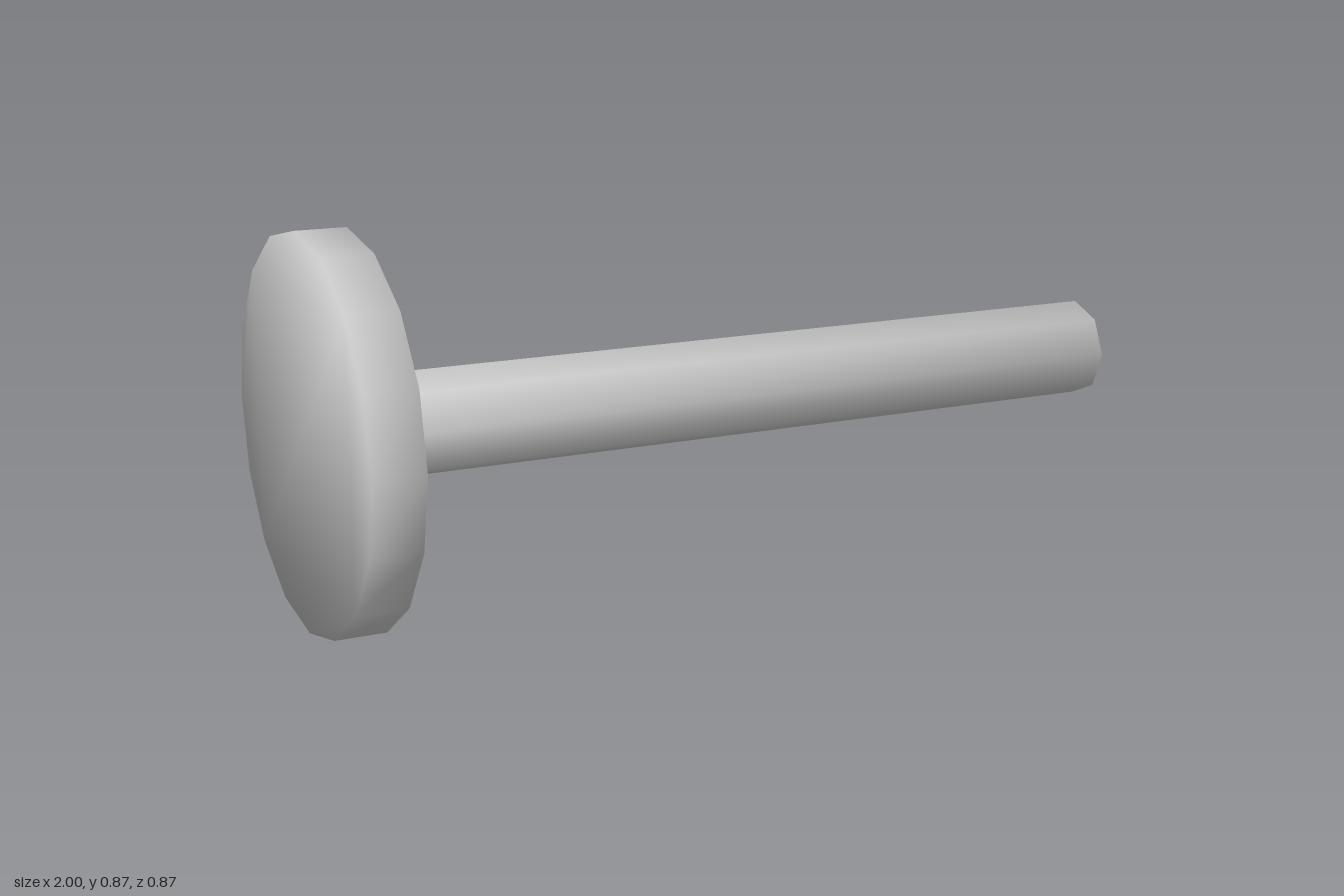
import * as THREE from 'three';
import { mergeVertices } from 'three/addons/utils/BufferGeometryUtils.js';

// Low-poly solid disc or rod along x, with shading blended over its rims
function roundPrism(radius, sides, x0, x1) {
  const points = [];
  for (let i = 0; i < sides; i++) {
    const a = (i / sides) * Math.PI * 2;
    points.push(new THREE.Vector2(Math.cos(a) * radius, Math.sin(a) * radius));
  }
  let geo = new THREE.ExtrudeGeometry(new THREE.Shape(points), {
    depth: x1 - x0, bevelEnabled: false, steps: 1,
  });
  geo.deleteAttribute('normal');
  geo.deleteAttribute('uv');
  geo.clearGroups();
  geo = mergeVertices(geo, 1e-4);
  geo.rotateY(Math.PI / 2);
  geo.translate(x0, 0, 0);

  // Each corner normal leans between the end face and the side
  const pos = geo.attributes.position;
  const normals = new Float32Array(pos.count * 3);
  const axial = Math.PI * (1 - 2 / sides);
  const radial = Math.PI * Math.cos(Math.PI / sides);
  const n = new THREE.Vector3();
  for (let i = 0; i < pos.count; i++) {
    n.set(0, pos.getY(i), pos.getZ(i)).setLength(radial);
    n.x = pos.getX(i) > (x0 + x1) / 2 ? axial : -axial;
    n.normalize().toArray(normals, i * 3);
  }
  geo.setAttribute('normal', new THREE.BufferAttribute(normals, 3));
  return geo;
}

export function createModel() {
  const model = new THREE.Group();
  model.name = 'pin';
  const grey = new THREE.MeshStandardMaterial({ color: 0xcccccc });
  grey.name = 'light grey';

  const centreY = 0.434;
  const add = (name, geo) => {
    const mesh = new THREE.Mesh(geo, grey);
    mesh.name = name;
    mesh.position.y = centreY;
    model.add(mesh);
  };

  // Wide head at one end, slim shaft along the rest
  add('head', roundPrism(0.434, 16, -1, -0.885));
  add('shaft', roundPrism(0.116, 8, -0.885, 1));
  return model;
}
